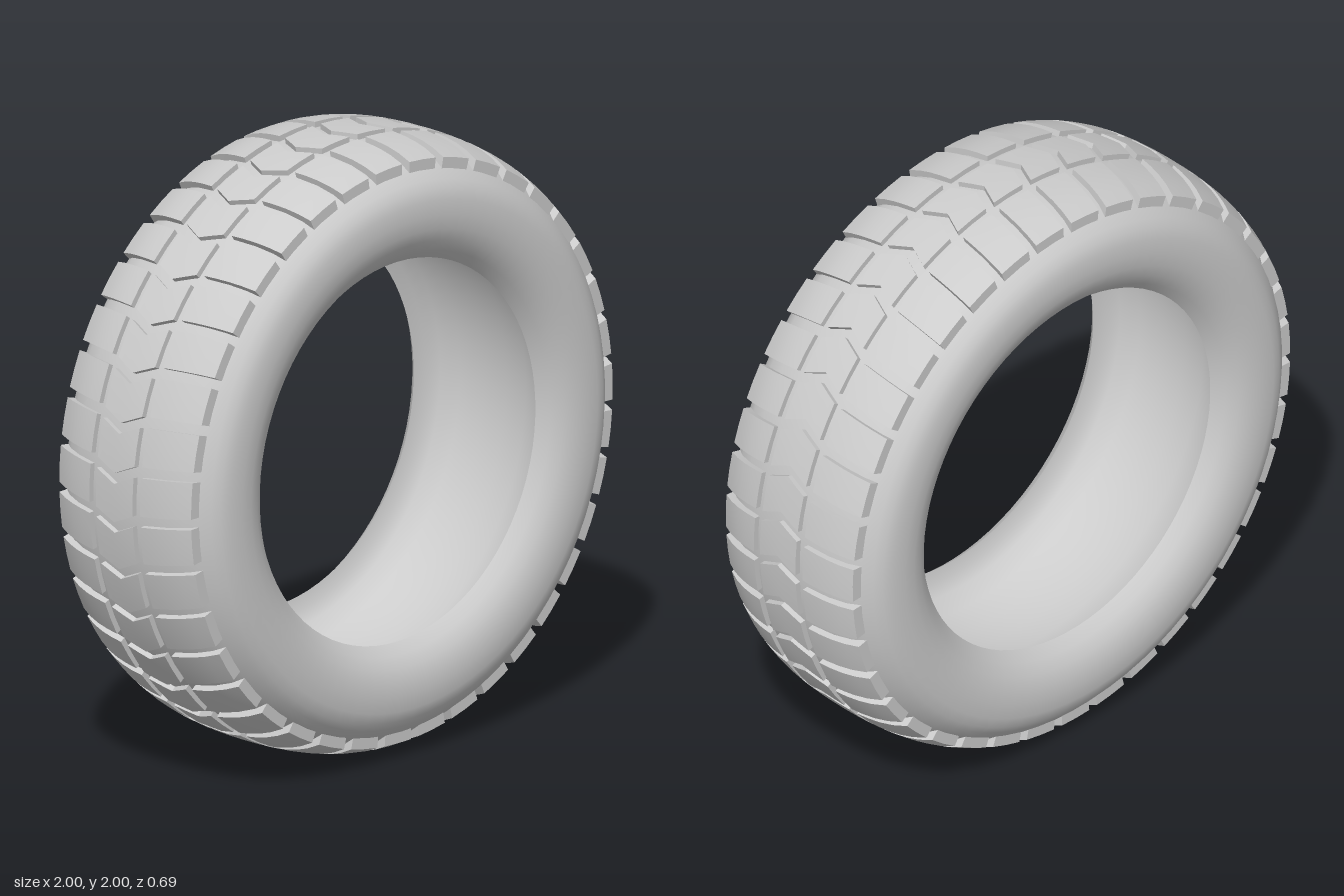
import * as THREE from 'three';
import { mergeGeometries, toCreasedNormals } from 'three/addons/utils/BufferGeometryUtils.js';

const COUNT = 39;                       // tread blocks per row
const PITCH = (2 * Math.PI) / COUNT;
const BLOCK_HEIGHT = 0.04;              // part of it is sunk into the carcass

// Crown of the tread: radius at distance z from the middle, rounding off at the shoulders
const crown = (z) => 1 - 0.3 * z ** 2 - 4 * z ** 4;

// Angular offset that gives the chevron centre row and the skewed shoulder rows
const sweep = (z) => {
  const d = Math.abs(z);
  return d < 0.09 ? -0.04 * (1 - d / 0.09) : 0.1 * (d - 0.1);
};

// Revolve a profile of [radius, z] points about the z axis
function revolve(points, material, name) {
  const geometry = new THREE.LatheGeometry(points.map(([r, z]) => new THREE.Vector2(r, z)), 2 * COUNT);
  geometry.rotateX(Math.PI / 2);
  const mesh = new THREE.Mesh(geometry, material);
  mesh.name = name;
  return mesh;
}

// One tread block: a box bent onto the crown and swept along the tread
function treadBlock(z0, z1) {
  const box = new THREE.BoxGeometry(PITCH * 0.78, BLOCK_HEIGHT, z1 - z0, 2, 1, 4);
  const p = box.attributes.position;
  for (let i = 0; i < p.count; i++) {
    const z = p.getZ(i) + (z0 + z1) / 2;
    const angle = p.getX(i) + sweep(z) + PITCH / 2;
    const r = crown(z) - BLOCK_HEIGHT / 2 + p.getY(i);
    p.setXYZ(i, r * Math.sin(angle), r * Math.cos(angle), z);
  }
  return toCreasedNormals(box, 0.6);
}

// A full ring of blocks
function treadRow(z0, z1, material, name) {
  const block = treadBlock(z0, z1);
  const ring = [];
  for (let i = 0; i < COUNT; i++) ring.push(block.clone().rotateZ(i * PITCH));
  const mesh = new THREE.Mesh(mergeGeometries(ring), material);
  mesh.name = name;
  return mesh;
}

export function createModel() {
  const model = new THREE.Group();
  model.name = 'tire';
  const rubber = new THREE.MeshStandardMaterial({ color: 0xcccccc, side: THREE.DoubleSide });

  // Carcass: sidewall, shoulder and crown, mirrored front to back
  const half = [
    [0.623, 0.265], [0.653, 0.3], [0.69, 0.324], [0.73, 0.338], [0.775, 0.343],
    [0.825, 0.341], [0.86, 0.33], [0.885, 0.313], [0.915, 0.285],
    [0.94, 0.25], [0.963, 0.19], [0.979, 0.1],
  ];
  const outer = [...half.map(([r, z]) => [r, -z]), [0.983, 0], ...half.slice().reverse()];
  model.add(revolve(outer, rubber, 'carcass'));

  // Hollow inner lining between the two bead edges
  const liningHalf = [[0.623, 0.265], [0.665, 0.255], [0.705, 0.23], [0.74, 0.175], [0.76, 0.09]];
  const lining = [...liningHalf, [0.765, 0], ...liningHalf.map(([r, z]) => [r, -z]).reverse()];
  model.add(revolve(lining, rubber, 'innerLining'));

  // Tread rows
  model.add(treadRow(-0.08, 0.08, rubber, 'centreTread'));
  model.add(treadRow(0.11, 0.287, rubber, 'frontShoulderTread'));
  model.add(treadRow(-0.287, -0.11, rubber, 'backShoulderTread'));

  for (const part of model.children) part.position.y = 1;
  return model;
}
